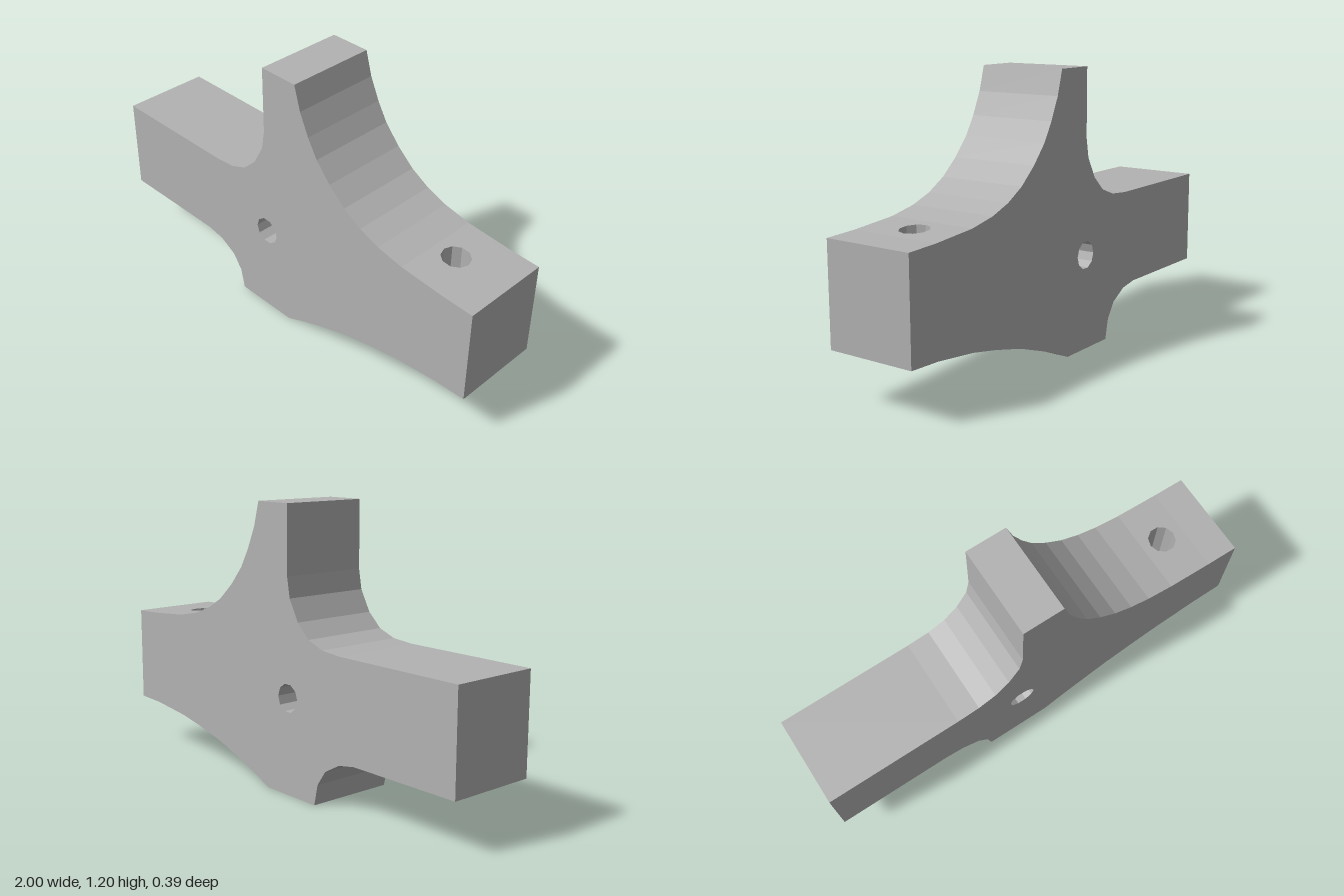
import * as THREE from 'three';

const D = 0.195;        // half thickness
const HOLE_R = 0.06;
const X0 = 0.66, X1 = 0.86; // flat span of the right arm that carries the upright bore
const V = (x, y) => new THREE.Vector2(x, y);

// outline, counter-clockwise from the foot
const outline = [
  [-0.255, 0], [0.04, 0], [0.12, 0.035], [0.21, 0.07], [0.37, 0.125], [0.53, 0.163], [X0, 0.188], [X1, 0.21], [1, 0.215],
  [1, 0.632], [X1, 0.638], [X0, 0.655], [0.54, 0.68], [0.446, 0.715], [0.36, 0.765], [0.28, 0.835],
  [0.21, 0.915], [0.163, 0.995], [0.12, 1.09], [0.09, 1.195],
  [-0.09, 1.195], [-0.09, 0.905], [-0.105, 0.82], [-0.155, 0.73], [-0.22, 0.67], [-0.3, 0.64], [-0.4, 0.632],
  [-1, 0.632], [-1, 0.215], [-0.485, 0.215], [-0.4, 0.2], [-0.32, 0.155], [-0.275, 0.09],
].map(p => V(...p));

const topY = x => THREE.MathUtils.mapLinear(x, X0, X1, 0.655, 0.638);
const bottomY = x => THREE.MathUtils.mapLinear(x, X0, X1, 0.188, 0.21);

function ring(cx, cy) {
  return Array.from({ length: 10 }, (_, i) => {
    const a = i / 10 * Math.PI * 2;
    return V(cx + HOLE_R * Math.cos(a), cy + HOLE_R * Math.sin(a));
  });
}

function holedShape(points, hole) {
  const shape = new THREE.Shape(points);
  shape.holes.push(new THREE.Path(hole));
  return new THREE.ShapeGeometry(shape);
}

// flat-shaded quads, each given as four corners
function quads(list) {
  const pos = [];
  for (const [a, b, c, d] of list) pos.push(...a, ...b, ...c, ...a, ...c, ...d);
  const g = new THREE.BufferGeometry();
  g.setAttribute('position', new THREE.Float32BufferAttribute(pos, 3));
  g.computeVertexNormals();
  return g;
}

// walls along a closed loop, running through the thickness
function walls(points, skip = () => false) {
  const list = [];
  points.forEach((a, i) => {
    const b = points[(i + 1) % points.length];
    if (!skip(a, b)) list.push([[a.x, a.y, D], [a.x, a.y, -D], [b.x, b.y, -D], [b.x, b.y, D]]);
  });
  return quads(list);
}

export function createModel() {
  const group = new THREE.Group();
  const grey = new THREE.MeshStandardMaterial({ color: 0xb2b2b2 });
  grey.name = 'plain grey';
  const add = (name, geometry) => {
    const mesh = new THREE.Mesh(geometry, grey);
    mesh.name = name;
    group.add(mesh);
    return mesh;
  };

  // front and back faces with the cross bore
  const crossHole = ring(-0.09, 0.41);
  add('frontFace', holedShape(outline, crossHole).translate(0, 0, D));
  const mirrored = pts => pts.map(p => V(-p.x, p.y));
  add('backFace', holedShape(mirrored(outline), mirrored(crossHole)).rotateY(Math.PI).translate(0, 0, -D));
  add('crossBore', walls([...crossHole].reverse()));

  // outer walls, leaving the two spans pierced by the upright bore
  const pierced = (a, b) => Math.min(a.x, b.x) === X0 && Math.max(a.x, b.x) === X1;
  add('outerWalls', walls(outline, pierced));

  // pierced spans on the top and underside of the right arm
  const boreZ = -0.005;
  for (const [name, side, height] of [['armTop', 1, topY], ['armUnderside', -1, bottomY]]) {
    const g = holedShape([V(X0, -D), V(X1, -D), V(X1, D), V(X0, D)], ring(0.757, -side * boreZ));
    g.rotateX(-side * Math.PI / 2);
    const p = g.attributes.position;
    for (let i = 0; i < p.count; i++) p.setY(i, height(p.getX(i)));
    g.computeVertexNormals();
    add(name, g);
  }

  // upright bore
  const bore = ring(0.757, boreZ);
  add('uprightBore', quads(bore.map((p, i) => {
    const q = bore[(i + 1) % bore.length];
    return [[p.x, bottomY(p.x), p.y], [q.x, bottomY(q.x), q.y], [q.x, topY(q.x), q.y], [p.x, topY(p.x), p.y]];
  })));

  return group;
}
